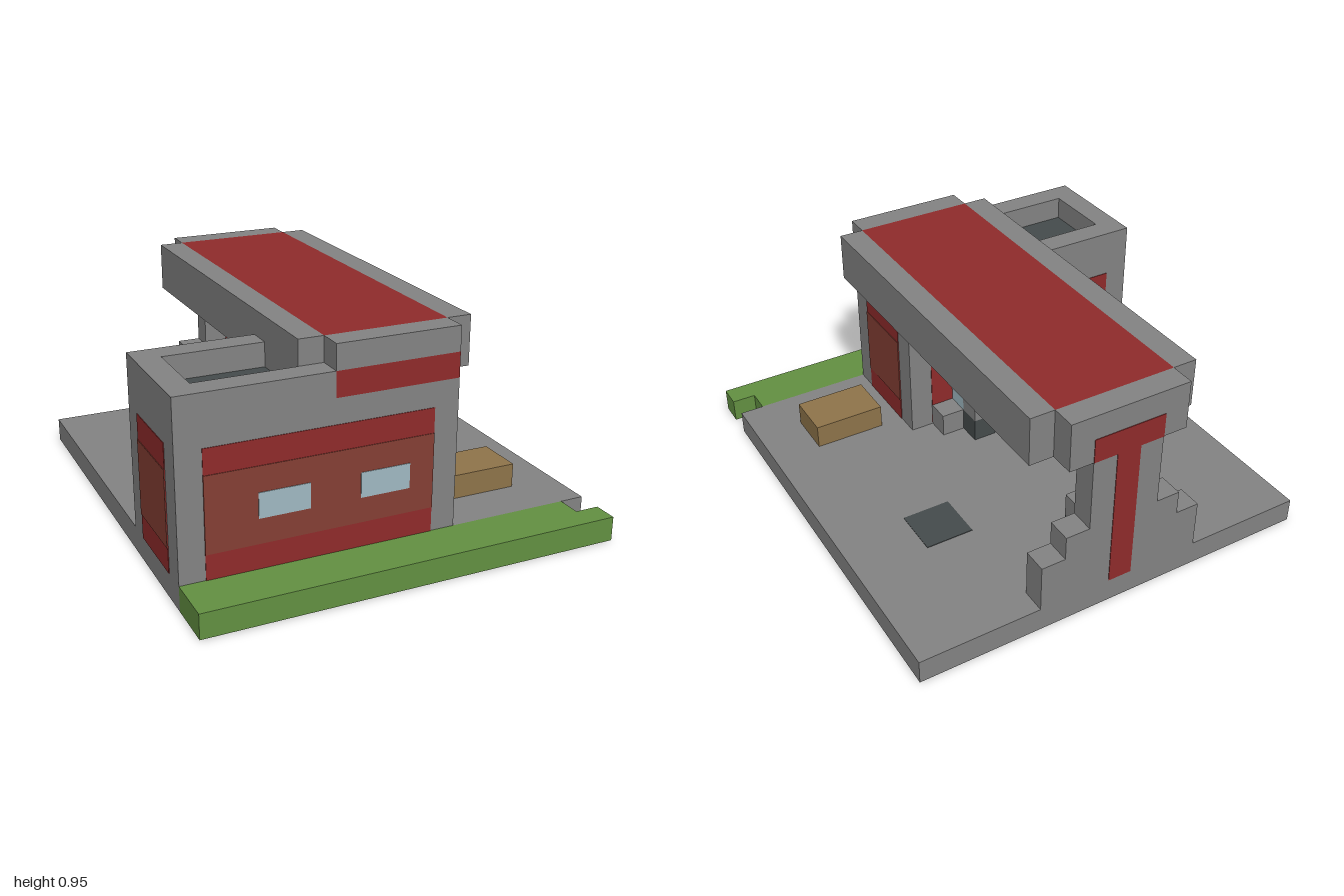
import * as THREE from 'three';

const U = 2 / 19; // one grid cell
const mat = (name, color) => {
  const m = new THREE.MeshStandardMaterial({ color });
  m.name = name;
  return m;
};

export function createModel() {
  const group = new THREE.Group();
  const grey = mat('concrete', 0x848484), red = mat('red', 0x902b2b), brick = mat('brick', 0x853f34);
  const glass = mat('glass', 0xa0bac3), dark = mat('darkGrey', 0x454b4c), green = mat('grass', 0x639142);
  const tan = mat('crateTan', 0x8f744a), purple = mat('purple', 0x6c2c9c);

  // Box between two limits on each axis, in grid cells
  const box = (name, m, x0, x1, y0, y1, z0, z1, parent = group) => {
    const mesh = new THREE.Mesh(new THREE.BoxGeometry((x1 - x0) * U, (y1 - y0) * U, (z1 - z0) * U), m);
    mesh.position.set((x0 + x1) / 2 * U, (y0 + y1) / 2 * U, (z0 + z1) / 2 * U);
    mesh.name = name;
    parent.add(mesh);
    return mesh;
  };
  const T = 0.025; // paint layer thickness

  // Ground slab and front lawn
  box('groundSlab', grey, -8.5, 8.5, 0, 1, -9.5, 7.5);
  box('lawn', green, -8.5, 7.5, 0, 1, 7.5, 9.5);
  box('lawnCorner', green, 7.5, 8.5, 0, 1, 8.5, 9.5);

  // Ground hatches, seen on both faces of the slab
  for (const x of [-5.5, 3.5])
    for (const y of [0, 1]) box('hatch', dark, x, x + 2, y - T, y + T, -4.5, -2.5);

  // Building with an open parapet roof
  box('building', grey, -8.5, 2.5, 1, 7, 2.5, 7.5);
  box('parapetFront', grey, -8.5, -2.5, 7, 8, 6.5, 7.5);
  box('parapetBack', grey, -8.5, -2.5, 7, 8, 2.5, 3.5);
  box('parapetSide', grey, -8.5, -7.5, 7, 8, 3.5, 6.5);
  box('roofFloor', dark, -7.5, -3.5, 7, 7 + T, 3.5, 6.5);

  // Front wall paint and windows
  box('frontPanel', red, -7.5, 1.5, 1, 6, 7.5, 7.5 + T);
  box('frontBrick', brick, -7.5, 1.5, 2, 5, 7.5, 7.5 + 2 * T);
  for (const x of [-5.5, -1.5]) box('frontWindow', glass, x, x + 2, 3, 4, 7.5, 7.5 + 3 * T);

  // Side wall paint
  for (const [x, s] of [[-8.5, -1], [2.5, 1]]) {
    const side = (name, m, y0, y1, t) => box(name, m, Math.min(x, x + s * t), Math.max(x, x + s * t), y0, y1, 3.5, 6.5);
    side('sidePanel', red, 1, 6, T);
    side('sideBrick', brick, 2, 5, 2 * T);
  }

  // Shop front facing the pumps
  box('shopPanel', red, -7.5, 1.5, 1, 6, 2.5 - T, 2.5);
  for (const [x0, x1, y0] of [[-7.5, -6.5, 2], [-5.5, -2.5, 1], [-1.5, 0.5, 2]]) {
    box('shopBrick', brick, x0, x1, 4, 5, 2.5 - 2 * T, 2.5);
    box('shopGlass', glass, x0, x1, y0, 4, 2.5 - 2 * T, 2.5);
  }
  box('shopFitting', grey, -4.5, -3.5, 2, 3.2, 2.5 - 3 * T, 2.5);
  box('bench', purple, -5.5, -2.5, 1, 2, 1.5, 2.5);

  // Crate, with its mark beneath the slab
  box('crate', tan, 3.5, 6.5, 1, 2, 3.5, 5.5);
  box('crateBase', tan, 3.5, 6.5, -T, T, 3.5, 5.5);

  // Canopy
  box('canopyDeck', red, -2.5, 2.5, 7, 9, -8.5, 6.5);
  for (const x of [-3.5, 2.5]) box('canopyBeam', grey, x, x + 1, 7, 9, -8.5, 6.5);
  box('canopyBackEnd', grey, -2.5, 2.5, 7, 9, -9.5, -8.5);
  box('canopyFrontEnd', grey, -2.5, 2.5, 8, 9, 6.5, 7.5);
  box('canopyFrontBand', red, -2.5, 2.5, 7, 8, 6.5, 7.5);

  // Stepped back pillar with a painted T
  [[1.5, 7], [2.5, 4], [3.5, 3]].forEach(([w, h]) => box('backPillar', grey, -w, w, 1, h, -9.5, -8.5));
  box('pillarStripe', red, -0.5, 0.5, 1, 7, -9.5 - T, -8.5 + T);
  box('pillarBar', red, -1.5, 1.5, 7, 8, -9.5 - T, -9.5);

  // Two pump islands, mirrored about z = -3
  for (const s of [1, -1]) {
    const pump = new THREE.Group();
    pump.name = 'pumpIsland';
    const part = (name, m, x0, x1, y0, y1, z0) => {
      const z = s * z0 - 3; // cell centre
      box(name, m, x0, x1, y0, y1, z - 0.5, z + 0.5, pump);
    };
    part('pumpFoot', grey, -1.5, 1.5, 1, 2, 5);
    part('pumpScreen', glass, -0.5, 0.5, 2, 3.2, 5);
    part('pumpTop', grey, -0.5, 0.5, 3.2, 4, 5);
    part('pumpBase', dark, -0.5, 0.5, 1, 2, 4);
    part('pumpHead', grey, -0.5, 0.5, 2, 3, 4);
    group.add(pump);
  }
  return group;
}
